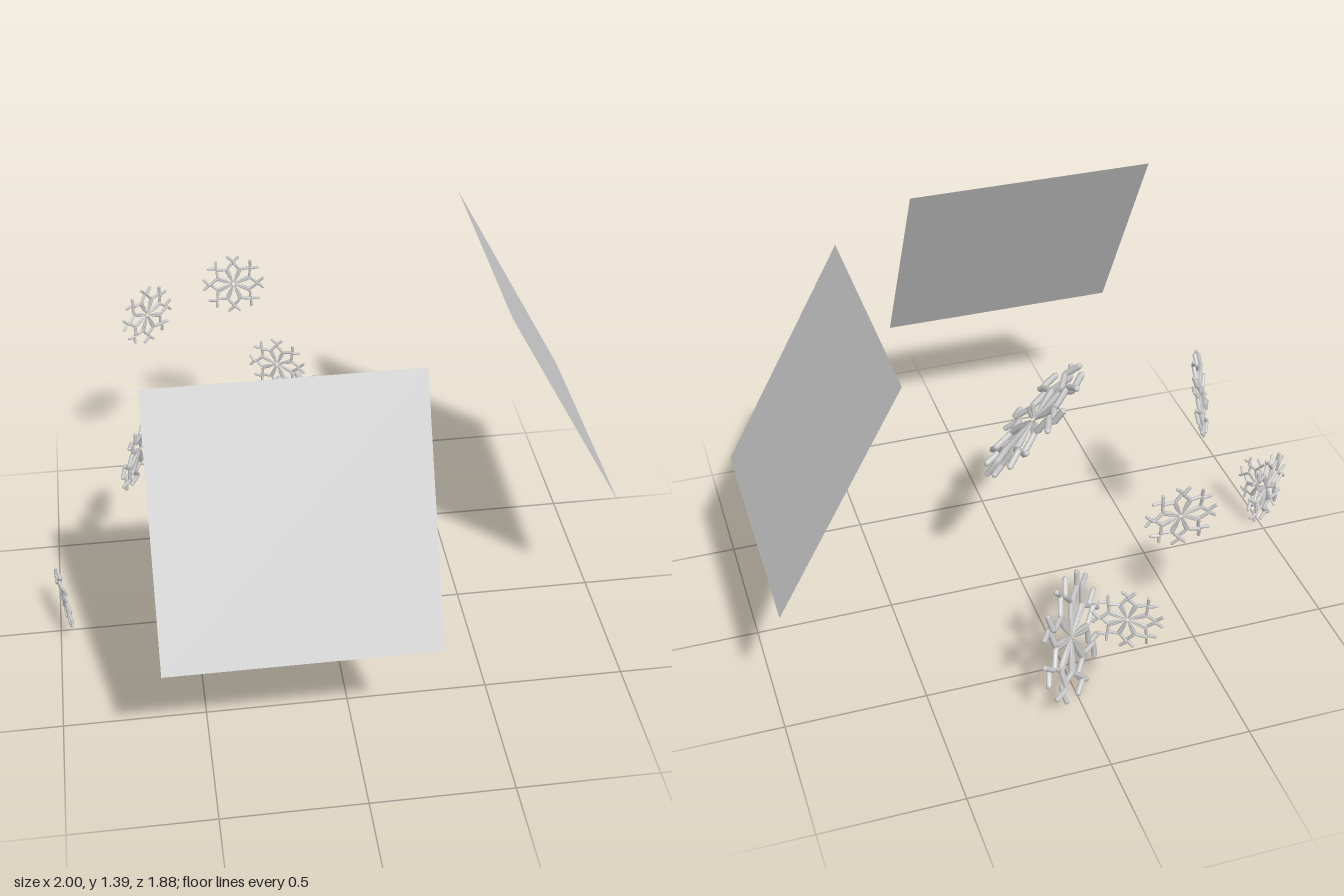
import * as THREE from 'three';
import { mergeGeometries } from 'three/addons/utils/BufferGeometryUtils.js';

const ARMS = 8;

// One strand of an arm: leaves the hub, bulges sideways, crosses its twin and forks at the tip
function strand(side) {
  const points = [
    [0.05, 0.012, 0],
    [0.28, 0.085, 0],
    [0.52, 0.185, 0],
    [0.75, 0, 0.04],
    [0.93, 0.165, 0],
  ].map(([r, s, z]) => new THREE.Vector3(s * side, r, z * side));
  const curve = new THREE.CatmullRomCurve3(points, false, 'catmullrom', 0.15);
  const tube = new THREE.TubeGeometry(curve, 24, 0.045, 6);
  // Thin the strand toward the hub
  const pos = tube.attributes.position;
  const p = new THREE.Vector3();
  const ringSize = 7;
  for (let i = 0; i < pos.count; i++) {
    const u = Math.floor(i / ringSize) / 24;
    const centre = curve.getPointAt(u);
    const k = Math.min(1, 0.3 + 2 * u);
    p.fromBufferAttribute(pos, i).sub(centre).multiplyScalar(k).add(centre);
    pos.setXYZ(i, p.x, p.y, p.z);
  }
  // Round cap on the fork tip
  const cap = new THREE.SphereGeometry(0.045, 6, 4);
  const end = points[points.length - 1];
  cap.translate(end.x, end.y, end.z);
  return [tube, cap];
}

// Unit snowflake lying in the xy plane
function snowflakeGeometry() {
  const parts = [];
  for (let i = 0; i < ARMS; i++) {
    for (const side of [-1, 1]) {
      for (const g of strand(side)) parts.push(g.rotateZ((i / ARMS) * Math.PI * 2));
    }
  }
  return mergeGeometries(parts);
}

export function createModel() {
  const model = new THREE.Group();
  const grey = new THREE.MeshStandardMaterial({ color: 0xcccccc });
  const sheet = new THREE.MeshStandardMaterial({ color: 0xcccccc, side: THREE.DoubleSide });

  // Two square panels leaning inward at the top
  const panelGeometry = new THREE.PlaneGeometry(0.895, 0.9);
  const lean = -Math.atan2(0.43, 0.79);
  const panels = [
    ['frontPanel', [-0.205, 1.005, 0.725], 0],
    ['leftPanel', [0.78, 1.005, -0.18], Math.PI / 2],
  ];
  for (const [name, position, turn] of panels) {
    const panel = new THREE.Mesh(panelGeometry, sheet);
    panel.name = name;
    panel.position.set(...position);
    panel.rotation.set(lean, turn, 0, 'YXZ');
    model.add(panel);
  }

  // Snowflakes: centre, facing direction, radius
  const flakeGeometry = snowflakeGeometry();
  const flakes = [
    ['largeSnowflakeLow', [0.005, 0.235, -0.6], [0.74, -0.2, 0.65], 0.235],
    ['largeSnowflakeHigh', [-0.035, 0.765, -0.045], [0.65, 0.65, 0.38], 0.262],
    ['mediumSnowflake', [-0.655, 0.765, -0.07], [0.88, -0.2, 0.42], 0.16],
    ['smallSnowflakeRight', [-0.974, 0.2, 0.035], [0.972, 0.08, -0.22], 0.117],
    ['smallSnowflakeCorner', [-0.585, 0.874, -0.78], [0.59, 0, 0.8], 0.122],
    ['smallSnowflakeHigh', [-0.243, 0.92, -0.888], [-0.04, 0.08, 1], 0.122],
    ['smallSnowflakeBack', [-0.08, 0.535, -0.888], [-0.41, 0, 0.91], 0.12],
  ];
  for (const [name, centre, facing, radius] of flakes) {
    const flake = new THREE.Mesh(flakeGeometry, grey);
    flake.name = name;
    flake.position.set(...centre);
    flake.lookAt(flake.position.clone().add(new THREE.Vector3(...facing)));
    flake.scale.setScalar(radius);
    model.add(flake);
  }
  return model;
}
